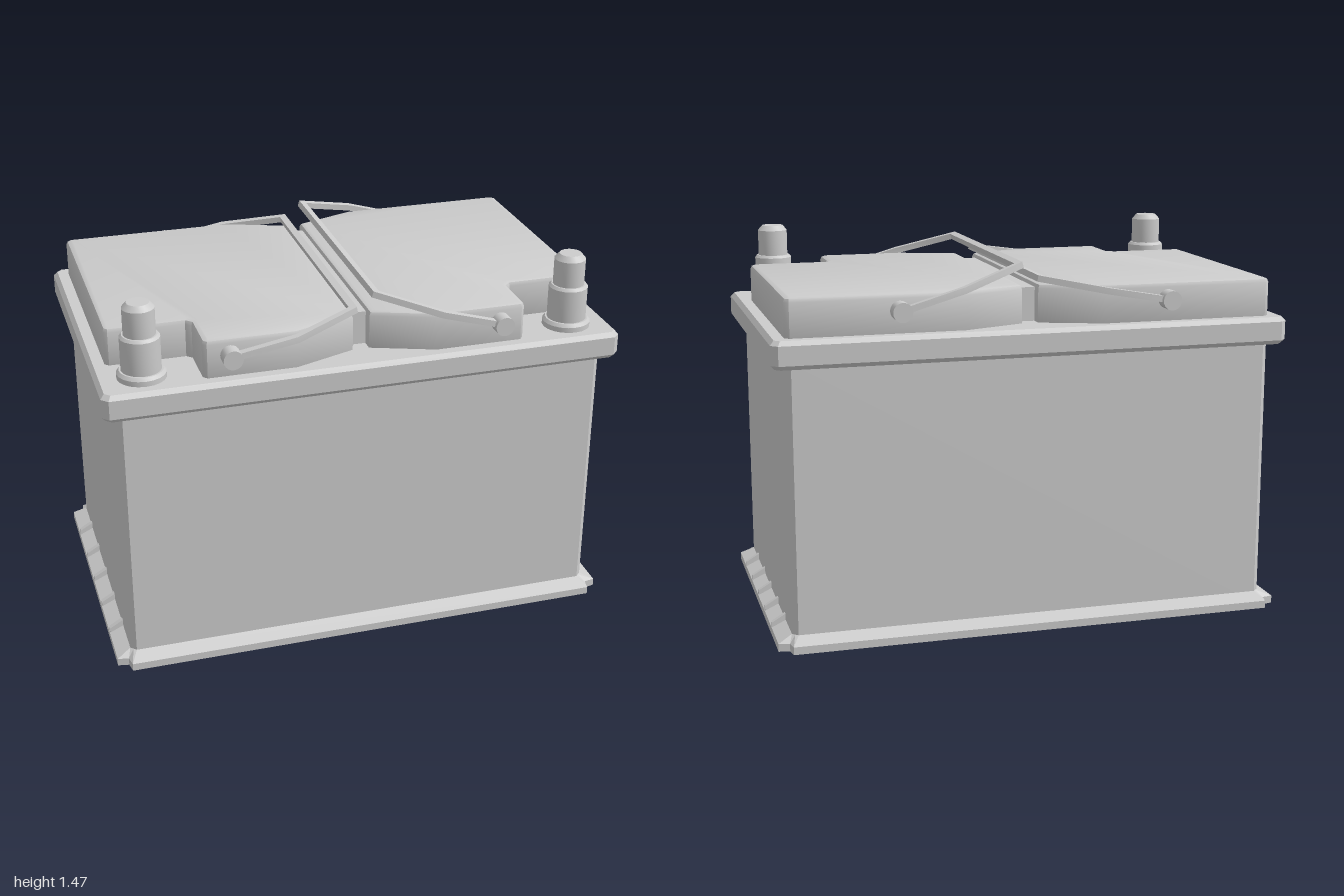
import * as THREE from 'three';
import { toCreasedNormals } from 'three/addons/utils/BufferGeometryUtils.js';

const grey = new THREE.MeshStandardMaterial({ color: 0xcccccc });

function add(parent, name, geometry) {
  const mesh = new THREE.Mesh(geometry, grey);
  mesh.name = name;
  parent.add(mesh);
  return mesh;
}

// Rectangle outline with cut corners; k = 0.5 is a chamfer, larger k a concave notch
function ring(hx, hz, y, cut, k = 0.5) {
  const pts = [];
  for (const [sx, sz] of [[1, 1], [-1, 1], [-1, -1], [1, -1]]) {
    const corner = [[hx, hz - cut], [hx - cut * k, hz - cut * k], [hx - cut, hz]];
    if (sx * sz < 0) corner.reverse();
    corner.forEach(([x, z]) => pts.push(new THREE.Vector3(sx * x, y, sz * z)));
  }
  return pts;
}

// Closed flat-faced solid through a stack of rings
function loft(rings) {
  const out = [];
  const tri = (...p) => p.forEach((v) => out.push(v.x, v.y, v.z));
  const n = rings[0].length, top = rings[rings.length - 1], bottom = rings[0];
  const c0 = new THREE.Vector3(0, bottom[0].y, 0), c1 = new THREE.Vector3(0, top[0].y, 0);
  for (let i = 0; i < n; i++) {
    const j = (i + 1) % n;
    for (let r = 0; r < rings.length - 1; r++) {
      const a = rings[r], b = rings[r + 1];
      tri(a[i], b[i], b[j]);
      tri(a[i], b[j], a[j]);
    }
    tri(c0, bottom[i], bottom[j]);
    tri(c1, top[j], top[i]);
  }
  const g = new THREE.BufferGeometry();
  g.setAttribute('position', new THREE.Float32BufferAttribute(out, 3));
  g.computeVertexNormals();
  return g;
}

// Horizontal slab from an outline in x and z, with its top at y = 0
function slab(points, height, bevel) {
  const g = new THREE.ExtrudeGeometry(new THREE.Shape(points.map(([x, z]) => new THREE.Vector2(x, z))), {
    depth: height - 2 * bevel, bevelEnabled: bevel > 0, bevelSize: bevel,
    bevelThickness: bevel, bevelOffset: -bevel, bevelSegments: 2,
  });
  g.rotateX(Math.PI / 2);
  g.translate(0, -bevel, 0);
  return toCreasedNormals(g, 0.6);
}

export function createModel() {
  const model = new THREE.Group();
  model.name = 'battery';

  // Case, foot flange and lid rim
  add(model, 'case', loft([ring(0.945, 0.572, 0.01, 0.022), ring(0.945, 0.572, 1.09, 0.022)]));
  add(model, 'footFlange', loft([
    ring(1, 0.625, 0, 0.05, 0.85), ring(1, 0.625, 0.03, 0.05, 0.85), ring(0.945, 0.572, 0.056, 0.022),
  ]));
  add(model, 'lidRim', loft([
    ring(0.985, 0.61, 1.073, 0.02), ring(1, 0.625, 1.09, 0.025),
    ring(1, 0.625, 1.163, 0.025), ring(0.985, 0.61, 1.18, 0.02),
  ]));

  // Small ribs on the end walls
  const ribShape = new THREE.Shape([[0.93, 0.005], [0.998, 0.005], [0.998, 0.05], [0.93, 0.09]]
    .map(([x, y]) => new THREE.Vector2(x, y)));
  const ribGeo = new THREE.ExtrudeGeometry(ribShape, { depth: 0.02, bevelEnabled: false });
  ribGeo.translate(0, 0, -0.01);
  for (const turn of [0, Math.PI]) {
    for (let i = -2; i <= 2; i++) {
      const rib = add(model, 'footRib', ribGeo);
      rib.rotation.y = turn;
      rib.position.z = i * 0.192;
    }
  }

  // Bridge between the two raised covers
  const bridge = add(model, 'coverBridge', new THREE.BoxGeometry(0.1, 0.14, 0.88));
  bridge.position.y = 1.24;

  // Terminal post profile
  const post = new THREE.LatheGeometry([
    [0, 1.17], [0.092, 1.17], [0.092, 1.2], [0.082, 1.212], [0.075, 1.212], [0.075, 1.34], [0.066, 1.35],
    [0.06, 1.35], [0.06, 1.452], [0.042, 1.472], [0, 1.472],
  ].map(([r, y]) => new THREE.Vector2(r, y)), 20);
  const postGeo = toCreasedNormals(post, 0.5);

  // Handle outline: a U that narrows towards its crossbar
  const outer = [[0, 0.612], [0.25, 0.612], [0.505, 0.51]];
  const inner = [[0.478, 0.492], [0.245, 0.584], [0, 0.584]];
  const flip = (pts) => pts.map(([x, z]) => [x, -z]).reverse();
  const handleOutline = [...outer, ...flip(outer), ...flip(inner), ...inner];

  for (const [side, s, tilt] of [['left', 1, 0.285], ['right', -1, 0.175]]) {
    // Raised cover, cut out around the post and tapered towards the middle
    const cover = [
      [0.032, -0.485], [0.27, -0.572], [0.925, -0.572], [0.943, -0.555], [0.943, 0.35], [0.928, 0.365],
      [0.64, 0.365], [0.62, 0.385], [0.62, 0.555], [0.605, 0.572], [0.27, 0.572], [0.032, 0.485],
    ].map(([x, z]) => [s * x, z]);
    add(model, side + 'Cover', slab(cover, 0.17, 0.018)).position.y = 1.328;

    const terminal = add(model, side + 'Terminal', postGeo);
    terminal.position.set(s * 0.83, 0, 0.485);

    // Folding handle with a pivot pin at each end
    const handle = new THREE.Group();
    handle.name = side + 'Handle';
    handle.position.set(s * 0.52, 1.264, 0);
    const bar = add(handle, 'handleBar', slab(handleOutline.map(([x, z]) => [-s * x, z]), 0.024, 0));
    bar.geometry.translate(0, 0.012, 0);
    bar.rotation.z = -s * tilt;
    for (const e of [1, -1]) {
      const pin = add(handle, 'handlePivot', new THREE.CylinderGeometry(0.037, 0.037, 0.065, 20));
      pin.rotation.x = Math.PI / 2;
      pin.position.z = e * 0.595;
    }
    model.add(handle);
  }
  return model;
}
